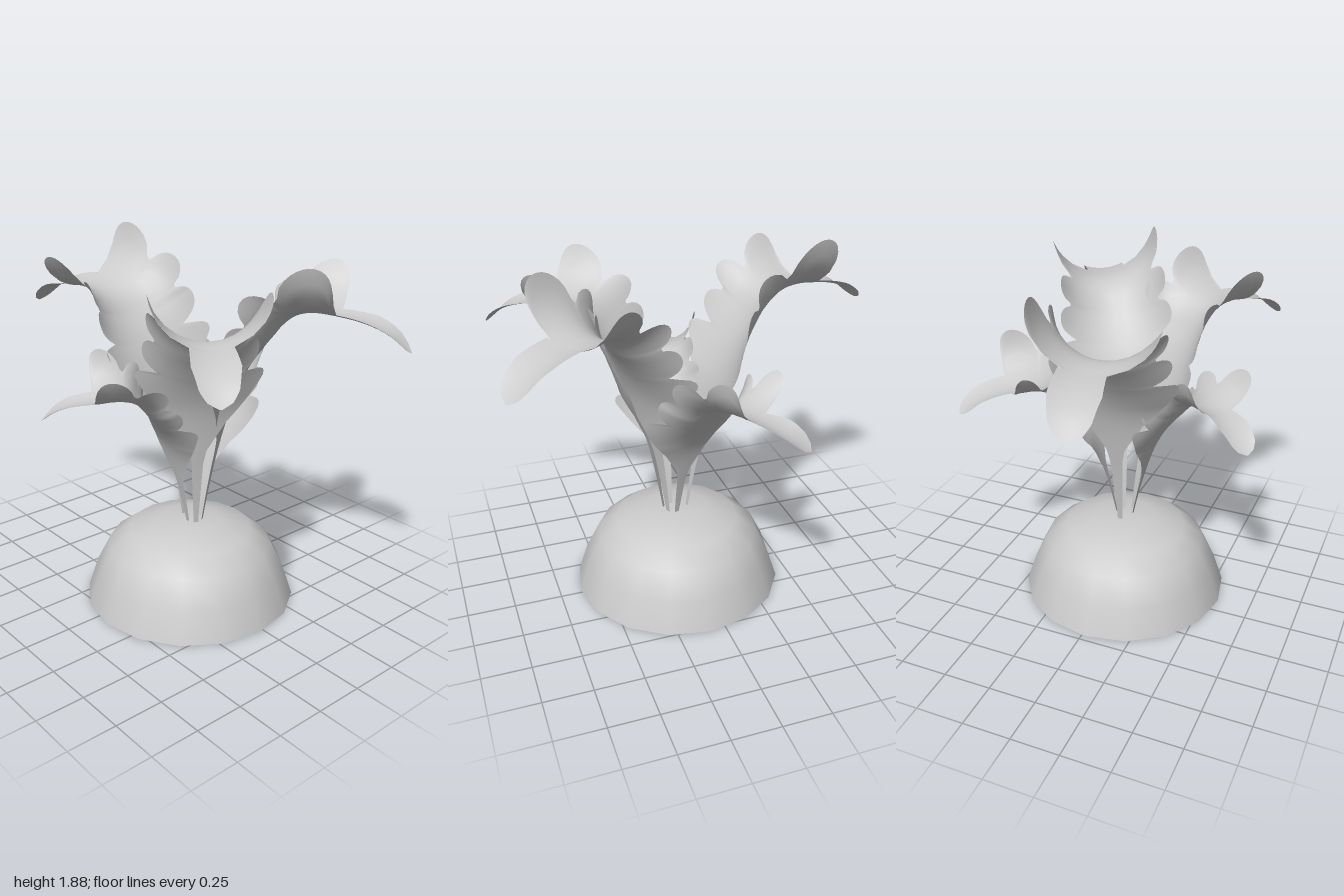
import * as THREE from 'three';

const material = new THREE.MeshStandardMaterial({ color: 0xcccccc, side: THREE.DoubleSide });

// Rounded side lobes of a blade: [start, end, length], along the midrib from 0 to 1
const LOBES = [
  [0.56, 0.64, 0.32],
  [0.64, 0.71, 0.34],
  [0.71, 0.81, 0.38],
];
// Width along the midrib: stem, pointed base lobe, undivided blade, tip
const CORE = [[0, 0.006], [0.15, 0.015], [0.3, 0.03], [0.34, 0.045], [0.42, 0.14], [0.5, 0.29], [0.525, 0.34], [0.54, 0.33], [0.56, 0.2], [0.64, 0.2], [0.72, 0.16], [0.81, 0.1], [0.9, 0.11], [0.96, 0.085], [0.985, 0.055], [1, 0.005]];

function halfWidth(s) {
  let i = 1;
  while (i < CORE.length - 1 && CORE[i][0] < s) i++;
  const [s0, w0] = CORE[i - 1], [s1, w1] = CORE[i];
  const core = THREE.MathUtils.lerp(w0, w1, (s - s0) / (s1 - s0));
  for (const [a, b, length] of LOBES) {
    if (s > a && s < b) {
      const t = (2 * s - a - b) / (b - a);
      return core + Math.max(0, length - core) * Math.sqrt(1 - t * t);
    }
  }
  return core;
}

// Stem and cupped, lobed blade in one sheet, arching from its base out to its tip.
// bend bows the midrib sideways, roll tips the blade about it.
function makeLeaf(name, { base, tip, height, roll = 0, bend = 0 }) {
  const foot = 0.2, rows = 140, cols = 10;
  const up = new THREE.Vector3(0, 1, 0);
  const out = new THREE.Vector3(tip[0] - base[0], 0, tip[1] - base[1]);
  const reach = out.length();
  out.normalize();
  const across = new THREE.Vector3().crossVectors(out, up);
  const midrib = new THREE.CatmullRomCurve3(
    [[0, 0], [0.025, 0.15], [0.1, 0.45], [0.19, 0.69], [0.34, 0.87], [0.48, 0.975], [0.7, 0.98], [0.88, 0.945], [1, 0.88]]
      .map(([r, h]) => new THREE.Vector3(base[0], foot + h * (height - foot), base[1])
        .addScaledVector(out, r * reach)
        .addScaledVector(across, bend * Math.sin(Math.PI * r)))
  );
  const positions = [], index = [];
  for (let i = 0; i <= rows; i++) {
    const s = i / rows;
    const p = midrib.getPointAt(s), tangent = midrib.getTangentAt(s);
    const side = new THREE.Vector3().crossVectors(tangent, up).normalize();
    const normal = new THREE.Vector3().crossVectors(side, tangent);
    const w = halfWidth(s) * reach;
    const curl = THREE.MathUtils.lerp(1.5, 3.6, THREE.MathUtils.smoothstep(s, 0.48, 0.7)) / reach;
    const turn = roll * THREE.MathUtils.smoothstep(s, 0.4, 0.65) * (1 - THREE.MathUtils.smoothstep(s, 0.78, 0.95));
    const lean = 0.12 * THREE.MathUtils.smoothstep(s, 0.42, 0.6) * (1 - THREE.MathUtils.smoothstep(s, 0.78, 0.84));
    for (let j = 0; j <= cols; j++) {
      const v = w * (2 * j / cols - 1);
      const a = Math.sin(curl * v) / curl, b = (1 - Math.cos(curl * v)) / curl;
      const q = p.clone()
        .addScaledVector(side, a * Math.cos(turn) - b * Math.sin(turn))
        .addScaledVector(normal, b * Math.cos(turn) + a * Math.sin(turn))
        .addScaledVector(tangent, lean * Math.abs(v));
      positions.push(q.x, q.y, q.z);
      if (i < rows && j < cols) {
        const k = i * (cols + 1) + j, n = k + cols + 1;
        index.push(k, k + 1, n, k + 1, n + 1, n);
      }
    }
  }
  const geometry = new THREE.BufferGeometry();
  geometry.setAttribute('position', new THREE.Float32BufferAttribute(positions, 3));
  geometry.setIndex(index);
  geometry.computeVertexNormals();
  const mesh = new THREE.Mesh(geometry, material);
  mesh.name = name;
  return mesh;
}

export function createModel() {
  const group = new THREE.Group();
  group.name = 'pottedPlant';

  // Hollow dome the stems grow from
  const profile = [[0.553, 0], [0.5, 0.16], [0.43, 0.3], [0.325, 0.38], [0.16, 0.43], [0, 0.432]]
    .map(([r, y]) => new THREE.Vector2(r, y));
  const dome = new THREE.Mesh(new THREE.LatheGeometry(profile, 16), material);
  dome.name = 'domeBase';
  dome.position.set(-0.02, 0, 0.085);
  group.add(dome);

  // Three tall leaves and two shorter ones at the sides
  group.add(
    makeLeaf('backLeaf', { base: [-0.01, 0.06], tip: [-0.21, -1.0], height: 1.61, roll: 0.18, bend: 0.03 }),
    makeLeaf('frontLeftLeaf', { base: [0, 0.12], tip: [0.53, 1.0], height: 1.61, roll: 0.1 }),
    makeLeaf('frontRightLeaf', { base: [-0.02, 0.13], tip: [-0.58, 0.93], height: 1.57 }),
    makeLeaf('leftLeaf', { base: [0, 0.11], tip: [0.73, -0.32], height: 1.21, roll: 0.2, bend: 0.09 }),
    makeLeaf('rightLeaf', { base: [-0.02, 0.11], tip: [-0.74, -0.17], height: 1.2, roll: 0.1, bend: -0.1 })
  );
  return group;
}
